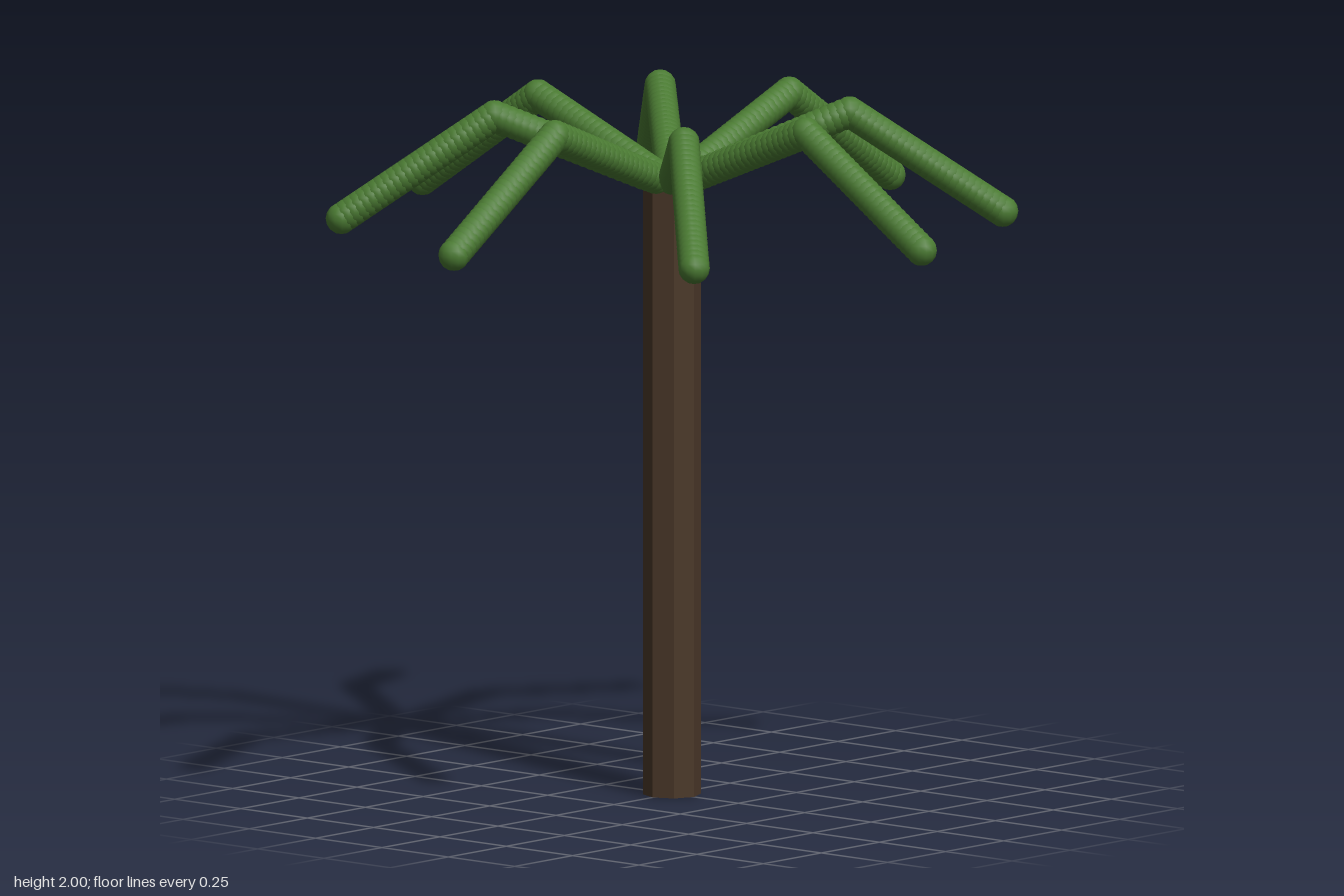
import * as THREE from 'three';
import { mergeGeometries } from 'three/addons/utils/BufferGeometryUtils.js';

const FROND_COUNT = 8;
const BEADS_PER_SEGMENT = 25;
const BEAD_RADIUS = 0.045;

// Frond centre line: up from the crown, then drooping to the tip
const root = new THREE.Vector3(0, 1.75, 0);
const bend = new THREE.Vector3(0.505, 1.955, 0);
const tip = new THREE.Vector3(0.94, 1.665, 0);

// One frond is a dense row of overlapping spheres
function frondGeometry() {
  const bead = new THREE.SphereGeometry(BEAD_RADIUS, 12, 8);
  const beads = [];
  const addBead = (p) => beads.push(bead.clone().translate(p.x, p.y, p.z));
  for (const [from, to] of [[root, bend], [bend, tip]]) {
    for (let i = 0; i < BEADS_PER_SEGMENT; i++) {
      addBead(from.clone().lerp(to, i / BEADS_PER_SEGMENT));
    }
  }
  addBead(tip);
  return mergeGeometries(beads);
}

export function createModel() {
  const bark = new THREE.MeshStandardMaterial({ color: 0x4a3728 });
  bark.name = 'bark brown';
  bark.flatShading = true;
  const leaf = new THREE.MeshStandardMaterial({ color: 0x4a7a32 });
  leaf.name = 'leaf green';

  const tree = new THREE.Group();
  tree.name = 'palmTree';

  // Straight faceted trunk
  const trunk = new THREE.Mesh(new THREE.CylinderGeometry(0.083, 0.083, 1.75, 8), bark);
  trunk.name = 'trunk';
  trunk.position.y = 0.875;
  tree.add(trunk);

  // Fronds spread evenly around the crown
  const crown = new THREE.Group();
  crown.name = 'crown';
  const geometry = frondGeometry();
  for (let i = 0; i < FROND_COUNT; i++) {
    const frond = new THREE.Mesh(geometry, leaf);
    frond.name = `frond${i + 1}`;
    frond.rotation.y = (i / FROND_COUNT) * Math.PI * 2;
    crown.add(frond);
  }
  tree.add(crown);
  return tree;
}
